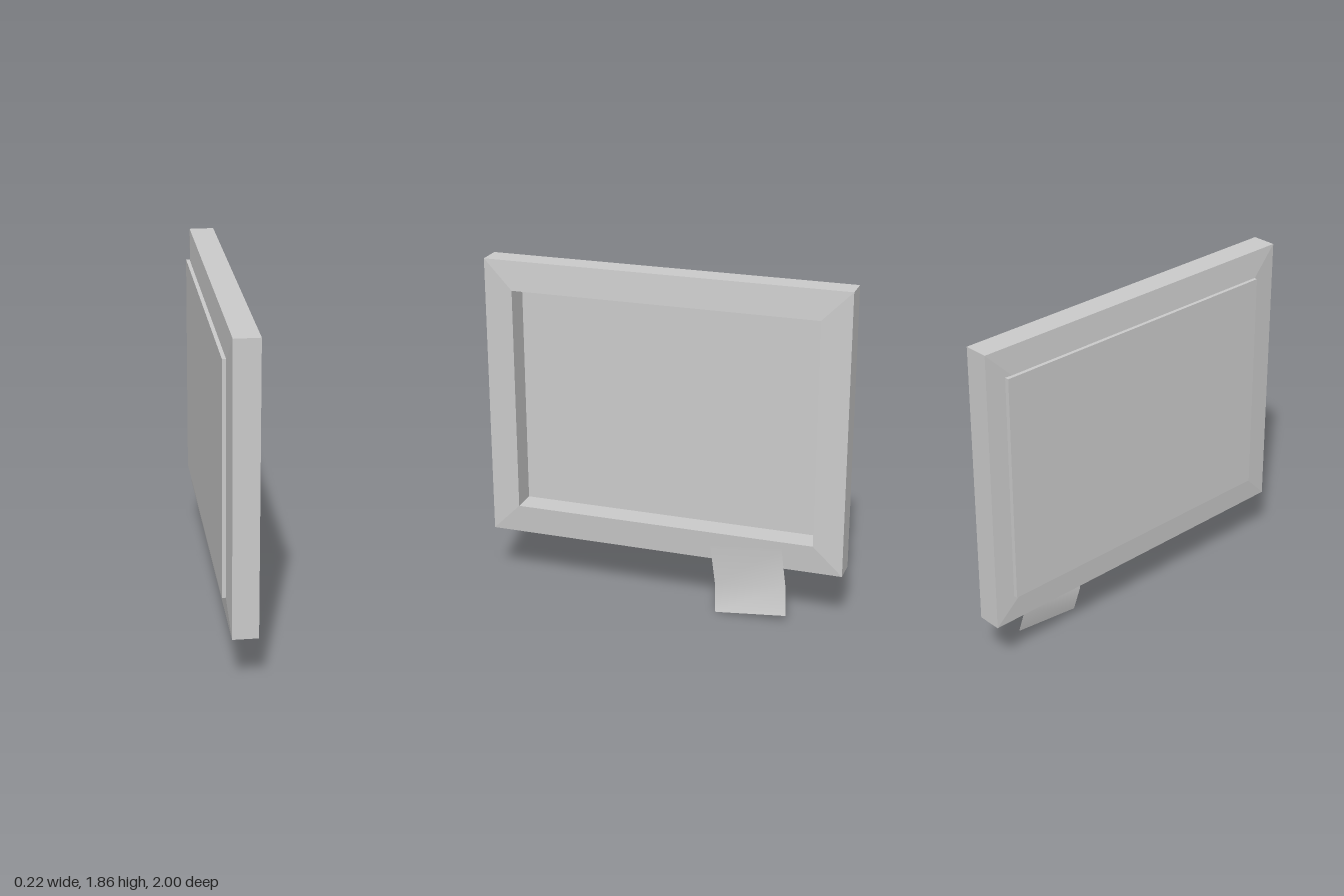
import * as THREE from 'three';

const material = new THREE.MeshStandardMaterial({ color: 0xcccccc, flatShading: true, side: THREE.DoubleSide });
const smooth = new THREE.MeshStandardMaterial({ color: 0xcccccc, side: THREE.DoubleSide });

// Picture frame: a four-point section swept round a mitred rectangle.
function frameGeometry() {
  const section = [[0, -0.08], [0, 0.055], [0.16, 0.07], [0.16, -0.093]]; // [inset, depth]
  const corners = [[-1, -1], [1, -1], [1, 1], [-1, 1]];
  const point = (c, s) => {
    const [su, sv] = corners[c % 4];
    const [inset, depth] = section[s % 4];
    return [su * (1 - inset), 1.0775 + sv * (0.7825 - inset), depth];
  };
  const positions = [];
  for (let c = 0; c < 4; c++) {
    for (let s = 0; s < 4; s++) {
      const a = point(c, s), b = point(c + 1, s);
      const d = point(c + 1, s + 1), e = point(c, s + 1);
      positions.push(...a, ...b, ...d, ...a, ...d, ...e);
    }
  }
  const geometry = new THREE.BufferGeometry();
  geometry.setAttribute('position', new THREE.Float32BufferAttribute(positions, 3));
  geometry.computeVertexNormals();
  return geometry;
}

// Thin pen stroke following a polyline.
function strokeGeometry(points, width) {
  const upper = points.map(([u, v]) => new THREE.Vector2(u + width * 0.4, v + width / 2));
  const lower = points.map(([u, v]) => new THREE.Vector2(u - width * 0.4, v - width / 2)).reverse();
  return new THREE.ShapeGeometry(new THREE.Shape([...upper, ...lower]));
}

// Pointed seal outline.
function starGeometry(points, outer, inner) {
  const outline = [];
  for (let i = 0; i < points * 2; i++) {
    const r = i % 2 ? inner : outer;
    const a = (i * Math.PI) / points + Math.PI / 2;
    outline.push(new THREE.Vector2(r * Math.cos(a), r * Math.sin(a)));
  }
  return new THREE.ShapeGeometry(new THREE.Shape(outline));
}

// Note sheet, tilted and creased so that its lower part lifts outwards.
function noteGeometry() {
  const geometry = new THREE.PlaneGeometry(1, 1, 1, 2);
  const rows = [[0, 0.085], [0.6, 0.066], [1, 0.104]]; // [distance down, depth]
  const p = geometry.attributes.position;
  for (let i = 0; i < p.count; i++) {
    const across = p.getX(i) + 0.5;
    const [down, depth] = rows[Math.floor(i / 2)];
    p.setXYZ(i, 0.28 + 0.395 * across + 0.038 * down, 0.38 + 0.04 * across - 0.38 * down, depth);
  }
  geometry.computeVertexNormals();
  return geometry;
}

export function createModel() {
  const model = new THREE.Group();
  model.name = 'framedCertificate';

  // Parts are drawn upright in x and y, then the whole is turned to face +x.
  const body = new THREE.Group();
  body.name = 'certificateBody';
  body.rotation.y = Math.PI / 2;
  model.add(body);

  const add = (name, geometry, x = 0, y = 0, z = 0, mat = material) => {
    const mesh = new THREE.Mesh(geometry, mat);
    mesh.name = name;
    mesh.position.set(x, y, z);
    body.add(mesh);
    return mesh;
  };
  const sheet = (name, left, right, bottom, top, depth) =>
    add(name, new THREE.PlaneGeometry(right - left, top - bottom), (left + right) / 2, (bottom + top) / 2, depth);

  // Frame and backing
  add('frame', frameGeometry());
  add('backPanel', new THREE.BoxGeometry(1.735, 1.26, 0.042), 0.0225, 1.08, -0.091);

  // Certificate sheet and its printed blocks
  const ink = -0.033;
  sheet('paper', -0.695, 0.7, 0.605, 1.55, -0.052);
  sheet('topBar', -0.62, 0.625, 1.47, 1.508, ink);
  sheet('bottomBar', -0.62, 0.625, 0.673, 0.711, ink);
  sheet('titleBlockLeft', -0.33, -0.032, 1.257, 1.36, ink);
  sheet('titleBlockRight', 0.08, 0.318, 1.257, 1.36, ink);
  for (let i = 0; i < 3; i++) {
    const y = 1.163 - i * 0.08;
    sheet(`textLine${i + 1}`, -0.415, 0.423, y - 0.019, y + 0.019, ink);
  }
  sheet('signatureLine', -0.315, 0.333, 0.814, 0.826, ink);

  // Signature strokes and seal
  add('signatureFirst', strokeGeometry(
    [[-0.215, 0.845], [-0.198, 0.93], [-0.16, 0.87], [-0.1, 0.89], [-0.032, 0.868]], 0.012), 0, 0, ink);
  add('signatureSecond', strokeGeometry(
    [[0.002, 0.868], [0.048, 0.918], [0.115, 0.848], [0.163, 0.897], [0.225, 0.868], [0.282, 0.868]], 0.012), 0, 0, ink);
  add('seal', starGeometry(11, 0.13, 0.075), 0.47, 1.36, -0.047);

  // Note hanging from the lower edge
  add('stickyNote', noteGeometry(), 0, 0, 0, smooth);

  return model;
}
